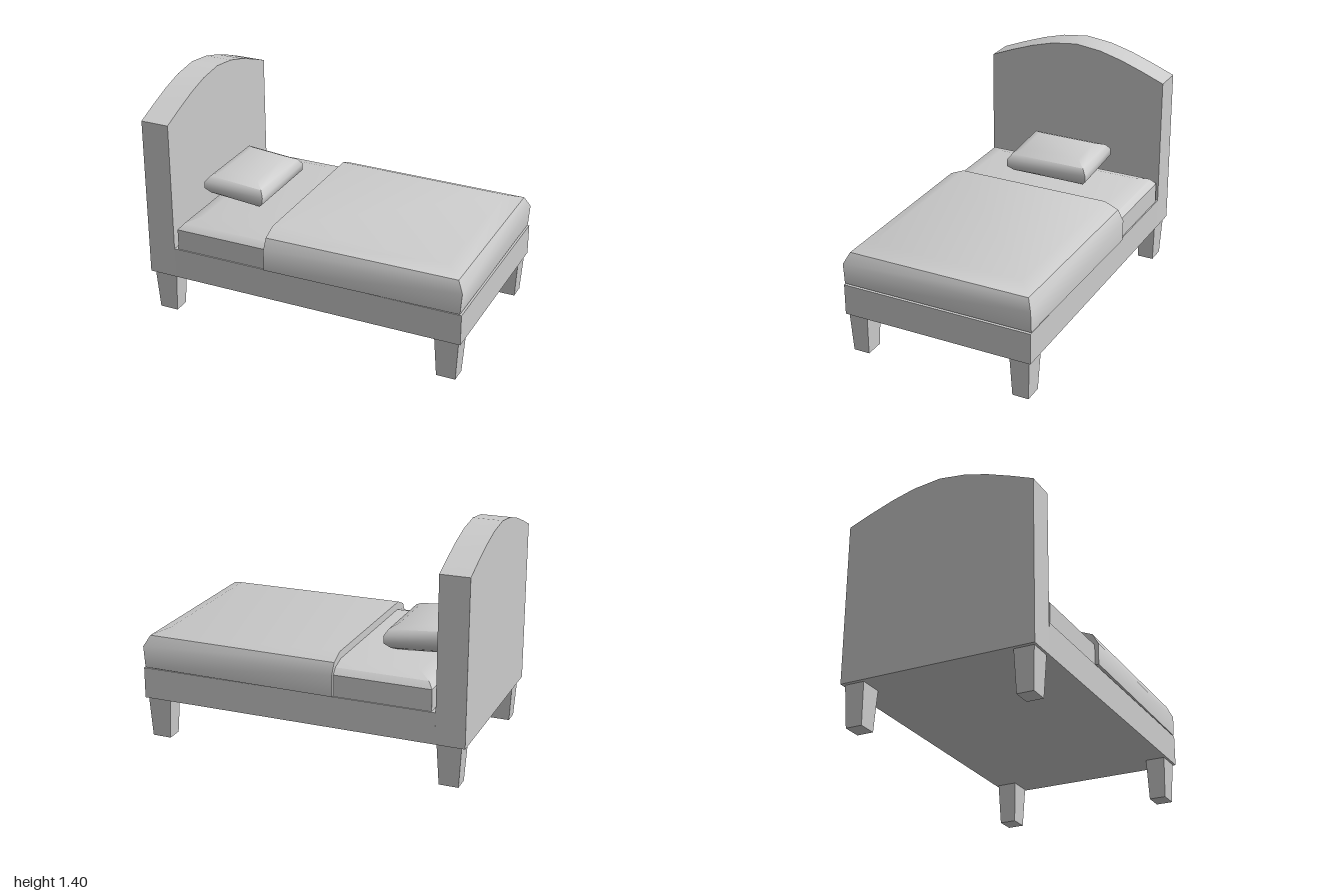
import * as THREE from 'three';
import { toCreasedNormals } from 'three/addons/utils/BufferGeometryUtils.js';

const material = new THREE.MeshStandardMaterial({ color: 0xcccccc });

// Closed solid through stacked four-sided rings.
// Each ring: [y, x0, x1, half depth at x0, half depth at x1]
function loft(rings, crease = 0.6) {
  const pos = [];
  const index = [];
  for (const [y, x0, x1, d0, d1 = d0] of rings) {
    pos.push(x0, y, d0, x1, y, d1, x1, y, -d1, x0, y, -d0);
  }
  for (let r = 0; r < rings.length - 1; r++) {
    for (let i = 0; i < 4; i++) {
      const a = r * 4 + i, b = r * 4 + (i + 1) % 4;
      index.push(a, b, b + 4, a, b + 4, a + 4);
    }
  }
  const t = (rings.length - 1) * 4;
  index.push(0, 2, 1, 0, 3, 2, t, t + 1, t + 2, t, t + 2, t + 3);
  const geometry = new THREE.BufferGeometry();
  geometry.setAttribute('position', new THREE.Float32BufferAttribute(pos, 3));
  geometry.setIndex(index);
  return toCreasedNormals(geometry, crease);
}

export function createModel() {
  const bed = new THREE.Group();
  bed.name = 'bed';
  const add = (name, geometry, x = 0, y = 0, z = 0) => {
    const mesh = new THREE.Mesh(geometry, material);
    mesh.name = name;
    mesh.position.set(x, y, z);
    bed.add(mesh);
    return mesh;
  };

  // Base frame, butting against the headboard
  add('frame', new THREE.BoxGeometry(1.825, 0.19, 1.184), 0.0875, 0.345, 0);

  // Headboard with a shallow arched top
  const arch = [[0.588, 1.235], [0.45, 1.29], [0.305, 1.342], [0.165, 1.38]];
  const outline = [
    [-0.592, 0.25], [0.592, 0.25], ...arch, [0, 1.4],
    ...arch.map(([z, y]) => [-z, y]).reverse(),
  ];
  const board = new THREE.ExtrudeGeometry(
    new THREE.Shape(outline.map(([z, y]) => new THREE.Vector2(z, y))),
    { depth: 0.175, bevelEnabled: false },
  );
  board.rotateY(Math.PI / 2);
  add('headboard', toCreasedNormals(board, 0.4), -1, 0, 0);

  // Tapered legs
  const leg = loft([[0, -0.058, 0.058, 0.05], [0.25, -0.073, 0.073, 0.06]]);
  for (const x of [-0.903, 0.912]) {
    for (const z of [-0.517, 0.517]) add('leg', leg, x, 0, z);
  }

  // Mattress with softened upper edges
  add('mattress', loft([
    [0.44, -0.8, 0.95, 0.585],
    [0.57, -0.8, 0.95, 0.585],
    [0.605, -0.77, 0.92, 0.553],
    [0.63, -0.69, 0.85, 0.47],
  ]));

  // Blanket draped over the foot end, cut straight at the head end
  add('blanket', loft([
    [0.445, -0.215, 0.99, 0.608, 0.592],
    [0.575, -0.215, 1, 0.608, 0.592],
    [0.64, -0.215, 0.965, 0.572, 0.562],
    [0.677, -0.215, 0.87, 0.485, 0.475],
  ]));

  // Plump pillow, tipped toward the headboard
  const profile = [
    [-0.083, 0.07], [-0.06, 0.03], [-0.025, 0], [0.02, 0], [0.055, 0.025], [0.082, 0.08],
  ];
  const pillow = add('pillow', loft(
    profile.map(([y, inset]) => [y, inset - 0.197, 0.197 - inset, 0.27 - inset]), 1,
  ), -0.593, 0.718, 0);
  pillow.rotation.z = -0.08;

  return bed;
}
